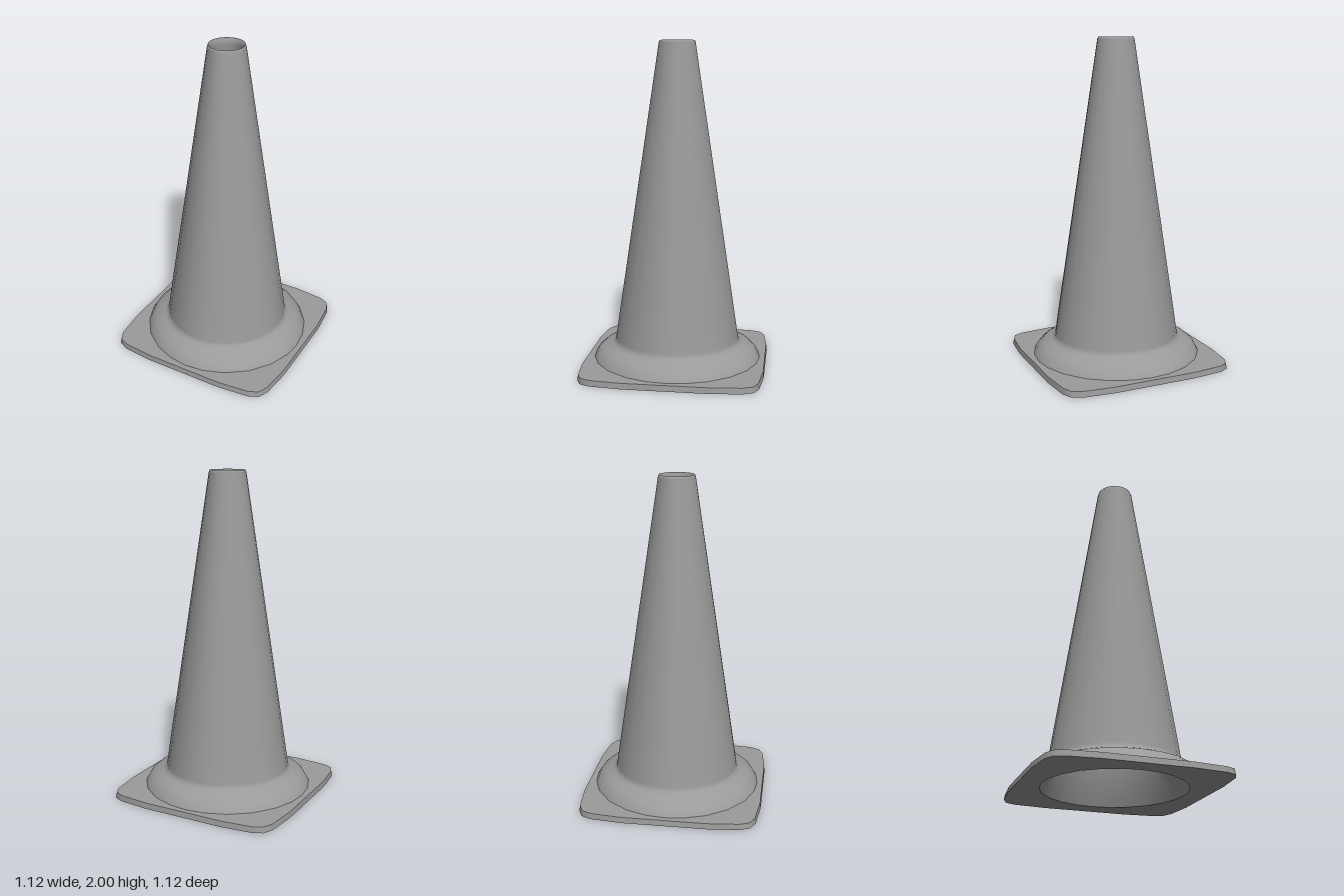
import * as THREE from 'three';
import { toCreasedNormals } from 'three/addons/utils/BufferGeometryUtils.js';

const SIDES = 24;
const material = new THREE.MeshStandardMaterial({ color: 0x9b9b9b });

// The ring's vertices bunch slightly towards the four axes.
const warp = (a) => a - 0.04 * Math.sin(4 * a);

// Turned surface: a profile running upwards faces out, downwards faces in.
function turned(name, profile) {
  const geometry = new THREE.LatheGeometry(profile.map(([r, y]) => new THREE.Vector2(r, y)), SIDES);
  const pos = geometry.attributes.position;
  for (let i = 0; i < pos.count; i++) {
    const x = pos.getX(i), z = pos.getZ(i);
    const r = Math.hypot(x, z), a = warp(Math.atan2(x, z));
    pos.setX(i, r * Math.sin(a));
    pos.setZ(i, r * Math.cos(a));
  }
  const mesh = new THREE.Mesh(geometry, material);
  mesh.name = name;
  return mesh;
}

// Square plate with bowed sides, clipped corners and a round opening.
function basePlate(height, holeRadius) {
  const quarter = [[0.56, -0.26], [0.56, 0.26], [0.54, 0.452], [0.512, 0.512], [0.452, 0.54]];
  const outline = [];
  for (let k = 0; k < 4; k++) {
    const c = Math.round(Math.cos(k * Math.PI / 2)), s = Math.round(Math.sin(k * Math.PI / 2));
    for (const [x, y] of quarter) outline.push(new THREE.Vector2(x * c - y * s, x * s + y * c));
  }
  const shape = new THREE.Shape(outline);
  const hole = [];
  for (let i = 0; i < SIDES; i++) {
    const a = warp(-i / SIDES * Math.PI * 2);
    hole.push(new THREE.Vector2(holeRadius * Math.cos(a), holeRadius * Math.sin(a)));
  }
  shape.holes.push(new THREE.Path(hole));
  const geometry = new THREE.ExtrudeGeometry(shape, { depth: height, bevelEnabled: false });
  geometry.rotateX(-Math.PI / 2);
  // Draw the upper outer edge in a little.
  const pos = geometry.attributes.position;
  for (let i = 0; i < pos.count; i++) {
    if (pos.getY(i) > height / 2 && Math.hypot(pos.getX(i), pos.getZ(i)) > 0.5) {
      pos.setX(i, pos.getX(i) * 0.992);
      pos.setZ(i, pos.getZ(i) * 0.992);
    }
  }
  // Smooth round the rim, sharp at top and bottom
  const mesh = new THREE.Mesh(toCreasedNormals(geometry, 0.75), material);
  mesh.name = 'basePlate';
  return mesh;
}

export function createModel() {
  const group = new THREE.Group();
  group.name = 'trafficCone';

  group.add(basePlate(0.035, 0.43));

  // Hollow body: flared foot, taper, rounded lip, then back down the inside
  group.add(turned('coneBody', [
    [0.522, 0.035], [0.502, 0.073], [0.465, 0.105], [0.41, 0.125], [0.391, 0.138],
    [0.386, 0.16], [0.37, 0.27], [0.215, 1.3], [0.112, 1.985],
    [0.107, 2], [0.1, 1.99], [0.093, 1.96],
    [0.195, 1.3], [0.35, 0.27], [0.372, 0.14], [0.43, 0],
  ]));

  return group;
}
